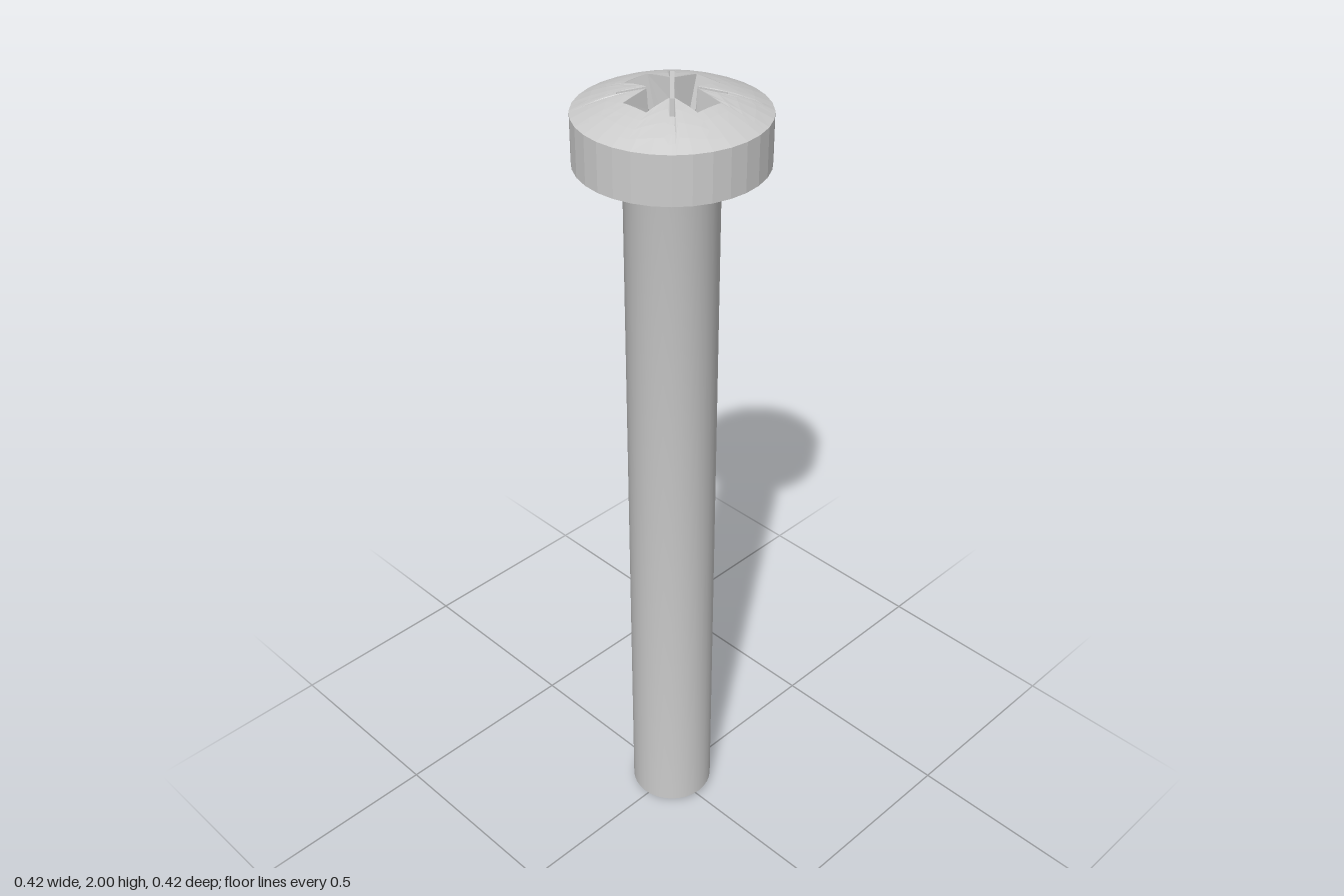
import * as THREE from 'three';
import { toCreasedNormals } from 'three/addons/utils/BufferGeometryUtils.js';

const SIDES = 32, HEAD_R = 0.21, RIM_Y = 1.95, CROWN = 0.053;
const FLOOR_Y = 1.89, SLOT_Y = 1.955, TIP_Y = 1.875;

const domeY = (r, rim = HEAD_R) => RIM_Y + CROWN * (1 - (r / rim) ** 2);

// Collects polygons (as triangle fans) into one flat-shaded geometry
function faceBuilder() {
  const pos = [];
  return {
    fan(...p) {
      for (let i = 1; i < p.length - 1; i++) pos.push(...p[0], ...p[i], ...p[i + 1]);
    },
    geometry() {
      const g = new THREE.BufferGeometry();
      g.setAttribute('position', new THREE.Float32BufferAttribute(pos, 3));
      g.computeVertexNormals();
      return g;
    },
  };
}

// One quadrant of the recess as [x, z] points, turned by quarter turns
const half = 0.033, end = 0.105, gap = 0.0064, tip = 0.08, o = gap / 2;
const mirrored = (pts) => [...pts, ...pts.slice().reverse().map(([x, z]) => [z, x])];
const topPts = mirrored([[end, half], [half + gap, half], [tip + o, tip - o]]);
const slotPts = mirrored([[0.031 + gap, 0.031], [0.0745 + o, 0.0745 - o]]);
const floorPts = [[0.07, 0.026], [0.039, 0.026], [0.033, 0.033], [0.026, 0.039], [0.026, 0.07]];

function turn([x, z], q) {
  for (let i = 0; i < q; i++) [x, z] = [-z, x];
  return [x, z];
}
function quadrant(q) {
  const at = (y) => (p) => { const [x, z] = turn(p, q); return [x, y ?? domeY(Math.hypot(x, z)), z]; };
  return {
    T: topPts.map(at()), S: slotPts.map(at(SLOT_Y)), F: floorPts.map(at(FLOOR_Y)),
    C: at(FLOOR_Y)([0.047, 0]),
  };
}

// Domed top, spanning from the recess outline to the many-sided rim
function domeGeometry() {
  const b = faceBuilder();
  const TAU = Math.PI * 2, step = TAU / SIDES;
  const outline = [];
  for (let q = 0; q < 4; q++) outline.push(...topPts.map((p) => turn(p, q)));
  const angleOf = ([x, z]) => (Math.atan2(z, x) + TAU) % TAU;
  const angles = outline.map(angleOf);
  for (let i = 0; i < SIDES; i++) {
    if (!angles.some((a) => Math.abs(a - i * step) < 1e-4)) angles.push(i * step);
  }
  angles.sort((a, c) => a - c);

  const innerRadius = (a) => {
    const n = outline.length;
    for (let i = 0; i < n; i++) {
      const p = outline[i], q = outline[(i + 1) % n];
      const from = angleOf(p), span = (angleOf(q) - from + TAU) % TAU;
      const off = (a - from + TAU + 1e-7) % TAU;
      if (off > span) continue;
      const dx = q[0] - p[0], dz = q[1] - p[1];
      return (p[0] * dz - p[1] * dx) / (Math.cos(a) * dz - Math.sin(a) * dx);
    }
    return end;
  };
  const rays = angles.map((a) => {
    const inner = innerRadius(a);
    const rim = HEAD_R * Math.cos(step / 2) / Math.cos(((a + 1e-9) % step) - step / 2);
    return [0, 0.25, 0.5, 0.75, 1].map((t) => {
      const r = inner + (rim - inner) * t;
      return [r * Math.cos(a), domeY(r, rim), r * Math.sin(a)];
    });
  });
  rays.forEach((ray, i) => {
    const next = rays[(i + 1) % rays.length];
    for (let k = 0; k < 4; k++) b.fan(ray[k], next[k], next[k + 1], ray[k + 1]);
  });
  return b.geometry();
}

// Tapered cross recess with four thin diagonal slots and a conical centre
function recessGeometry() {
  const b = faceBuilder();
  const apex = [0, TIP_Y, 0];
  for (let q = 0; q < 4; q++) {
    const { T, S, F, C } = quadrant(q);
    const prev = quadrant((q + 3) % 4);
    // arm end, arm sides and arm floor
    b.fan(prev.T[5], prev.F[4], F[0], T[0]);
    b.fan(T[0], F[0], F[1], S[0], T[1]);
    b.fan(T[4], S[3], F[3], F[4], T[5]);
    b.fan(C, F[1], F[0], prev.F[4], prev.F[3]);
    // diagonal slot and the corner below it
    b.fan(T[1], S[0], S[1], T[2]);
    b.fan(T[2], S[1], S[2], T[3]);
    b.fan(T[3], S[2], S[3], T[4]);
    b.fan(S[0], S[3], S[2], S[1]);
    b.fan(S[0], F[1], F[2], F[3], S[3]);
    // conical centre
    b.fan(apex, F[3], F[2], F[1], C, prev.F[3]);
  }
  return b.geometry();
}

function lathe(points) {
  return new THREE.LatheGeometry(points.map(([r, y]) => new THREE.Vector2(r, y)), SIDES);
}

export function createModel() {
  const model = new THREE.Group();
  model.name = 'machineScrew';
  const smooth = new THREE.MeshStandardMaterial({ color: 0xcccccc });
  const flat = new THREE.MeshStandardMaterial({ color: 0xcccccc, flatShading: true, side: THREE.DoubleSide });

  const add = (parent, name, geometry, material) => {
    const mesh = new THREE.Mesh(geometry, material);
    mesh.name = name;
    parent.add(mesh);
  };

  // Shank with chamfered end and a small fillet under the head
  const shank = lathe([[0, 0], [0.08, 0], [0.104, 0.02], [0.104, 1.825], [0.107, 1.834], [0.114, 1.84]]);
  add(model, 'shank', toCreasedNormals(shank, 0.6), smooth);

  // Head
  const head = new THREE.Group();
  head.name = 'head';
  model.add(head);
  add(head, 'headSide', lathe([[0.114, 1.84], [HEAD_R, 1.84], [HEAD_R, RIM_Y]]), flat);
  add(head, 'headDome', domeGeometry(), flat);
  add(head, 'driveRecess', recessGeometry(), flat);
  return model;
}
